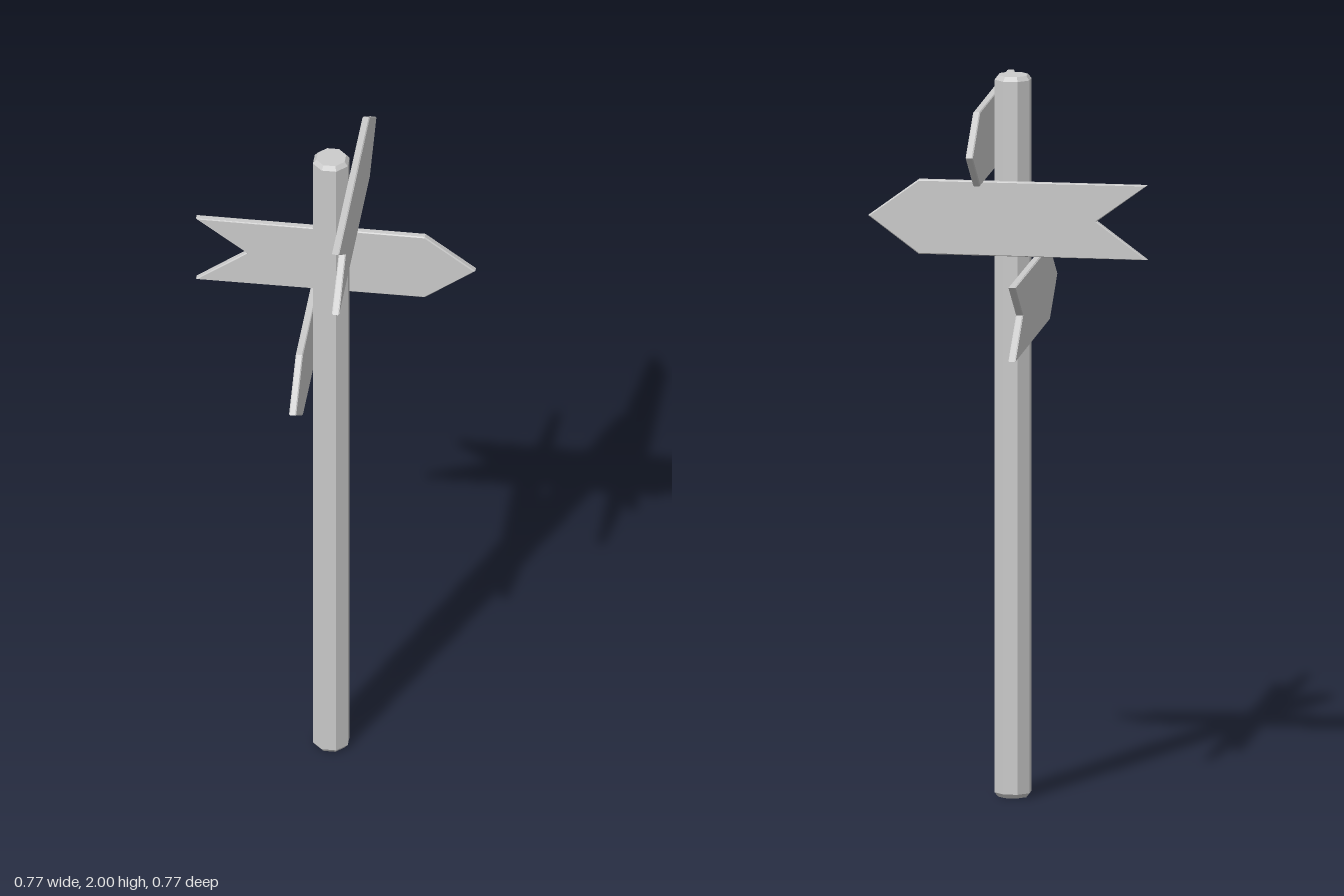
import * as THREE from 'three';

const material = new THREE.MeshStandardMaterial({ color: 0xcccccc, flatShading: true });

// Arrow board pointing along +x, centred on the origin, with a notched tail
function makeBoard(name) {
  const shape = new THREE.Shape([
    [-0.384, -0.103], [0.245, -0.103], [0.384, 0], [0.245, 0.103], [-0.384, 0.103], [-0.245, 0],
  ].map(([x, y]) => new THREE.Vector2(x, y)));
  const bevel = 0.003, thickness = 0.02;
  const geometry = new THREE.ExtrudeGeometry(shape, {
    depth: thickness - 2 * bevel, bevelEnabled: true, bevelSegments: 1,
    bevelSize: bevel, bevelThickness: bevel, bevelOffset: -bevel,
  });
  geometry.translate(0, 0, -thickness / 2 + bevel);
  const mesh = new THREE.Mesh(geometry, material);
  mesh.name = name;
  return mesh;
}

export function createModel() {
  const group = new THREE.Group();
  group.name = 'signpost';

  // Octagonal post with chamfered ends, flats facing the axes
  const toCorner = 1 / Math.cos(Math.PI / 8);
  const profile = [[0, 0], [0.039, 0], [0.048, 0.012], [0.048, 1.988], [0.039, 2], [0, 2]]
    .map(([r, y]) => new THREE.Vector2(r * toCorner, y));
  const post = new THREE.Mesh(new THREE.LatheGeometry(profile, 8, Math.PI / 8), material);
  post.name = 'post';
  post.position.set(-0.005, 0, 0.022);
  group.add(post);

  // Boards fixed to three sides of the post: name, position, turn about y
  const boards = [
    ['upperBoard', [0.055, 1.841, 0], Math.PI / 2],
    ['middleBoard', [0, 1.611, -0.037], 0],
    ['lowerBoard', [-0.063, 1.383, 0], -Math.PI / 2],
  ];
  for (const [name, position, turn] of boards) {
    const board = makeBoard(name);
    board.position.set(...position);
    board.rotation.y = turn;
    group.add(board);
  }
  return group;
}
